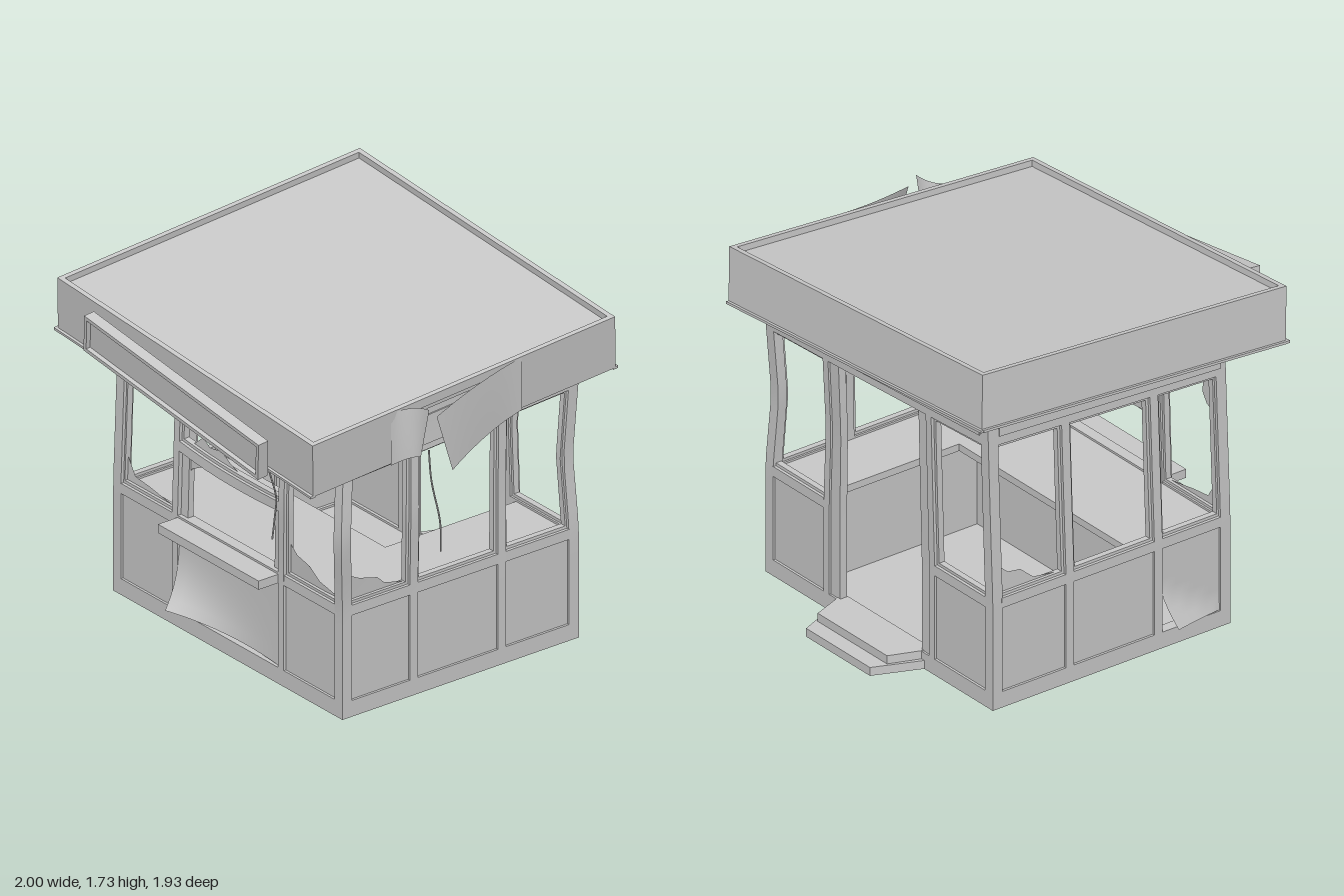
import * as THREE from 'three';

const grey = new THREE.MeshStandardMaterial({ color: 0xcccccc });
const thin = new THREE.MeshStandardMaterial({ color: 0xcccccc, side: THREE.DoubleSide });
const SILL = 0.55, EAVE = 1.345, HEAD = 1.235, WALL_TOP = 1.54;

// Above the sill the booth leans with its slipped roof, kinks along the right side and sags at the transom
function deform(geo) {
  const p = geo.attributes.position, { smoothstep: ss, clamp, lerp } = THREE.MathUtils;
  for (let i = 0; i < p.count; i++) {
    const x = p.getX(i), y = p.getY(i), z = p.getZ(i);
    if (y <= SILL) continue;
    const t = Math.min((y - SILL) / (EAVE - SILL), 1);
    const kink = Math.min(t / 0.44, (1 - t) / 0.56) * ss(x, -0.1, 0.7);
    const out = lerp(-0.02, 0.032, clamp((z + 0.73) / 1.33, 0, 1));
    const along = 0.035 * ss(z, 0, 0.6) + 0.02 * ss(-z, 0.3, 0.73);
    const tilt = -0.07 * (x + 0.065) - 0.069 * (z - 0.02);
    const sag = z > 0.5 ? 0.025 * Math.max(0, 1 - ((x + 0.1) / 0.36) ** 2) * Math.max(0, 1 - Math.abs(t - 0.42) / 0.3) : 0;
    p.setXYZ(i, x + t * (0.005 - 0.018 * x) + out * kink, y + t * t * tilt - sag, z - 0.012 * t + along * kink);
  }
  geo.computeVertexNormals();
  return geo;
}

function add(parent, name, geo, mat = grey) {
  const m = new THREE.Mesh(geo, mat);
  m.name = name;
  parent.add(m);
  return m;
}

// Box given by its limits, cut finely enough to bend
function block(parent, name, x0, x1, y0, y1, z0, z1) {
  const seg = (a) => Math.max(1, Math.ceil(a / 0.09));
  const g = new THREE.BoxGeometry(x1 - x0, y1 - y0, z1 - z0, seg(x1 - x0), seg(y1 - y0), seg(z1 - z0));
  g.translate((x0 + x1) / 2, (y0 + y1) / 2, (z0 + z1) / 2);
  return add(parent, name, deform(g));
}

// Bent sheet from a rule f(u, v) -> [x, y, z]
function sheet(parent, name, f) {
  const g = new THREE.PlaneGeometry(1, 1, 12, 8), p = g.attributes.position;
  for (let i = 0; i < p.count; i++) p.setXYZ(i, ...f(p.getX(i) + 0.5, p.getY(i) + 0.5));
  g.computeVertexNormals();
  return add(parent, name, g, thin);
}

// Each face maps a span along the wall and a depth inwards to box limits
const faces = {
  front: { ends: [-0.92, 0.72], x: (u, d) => u, z: (u, d) => 0.6 - d },
  back: { ends: [-0.92, 0.72], x: (u, d) => u, z: (u, d) => -0.73 + d },
  right: { ends: [-0.73, 0.6], x: (u, d) => 0.72 - d, z: (u, d) => u },
  left: { ends: [-0.73, 0.6], x: (u, d) => -0.92 + d, z: (u, d) => u },
};

function makeWall(side, bays, shards) {
  const f = faces[side], g = new THREE.Group();
  g.name = side + 'Wall';
  const put = (name, u0, u1, y0, y1, d0 = 0, d1 = 0.055) => {
    const xs = [f.x(u0, d0), f.x(u1, d1)].sort((a, b) => a - b);
    const zs = [f.z(u0, d0), f.z(u1, d1)].sort((a, b) => a - b);
    block(g, name, ...xs, y0, y1, ...zs);
  };
  const windowFrame = (a, b, y0, y1) => {
    const w = 0.014;
    for (const u of [a, b - w]) put('windowFrame', u, u + w, y0, y1, 0.015, 0.045);
    for (const y of [y0, y1 - w]) put('windowFrame', a, b, y, y + w, 0.015, 0.045);
  };
  // Posts fill the gaps between bays
  const edges = [f.ends[0], ...bays.flatMap((b) => [b[0], b[1]]), f.ends[1]];
  for (let i = 0; i < edges.length; i += 2) put('post', edges[i], edges[i + 1], 0, WALL_TOP);
  put('headerPanel', f.ends[0] + 0.06, f.ends[1] - 0.03, HEAD + 0.035, 1.42, -0.006, 0.001);
  for (const [a, b, kind] of bays) {
    put('header', a, b, HEAD, WALL_TOP);
    put('bottomRail', a, b, 0, 0.08);
    if (kind === 'door') {
      put('doorJamb', a, a + 0.065, 0.08, HEAD, 0.01, 0.05);
      put('doorJamb', b - 0.065, b, 0.08, HEAD, 0.01, 0.05);
      continue;
    }
    put('sill', a, b, 0.5, 0.55);
    if (!kind) put('lowerPanel', a, b, 0.08, 0.5, 0.012, 0.04);
    if (kind === 'serving') {
      put('transom', a, b, 0.87, 0.92);
      windowFrame(a, b, 0.92, HEAD);
      for (const u of [a, b - 0.05]) put('hatchJamb', u, u + 0.05, 0.55, 0.87, 0.02, 0.05);
    } else windowFrame(a, b, 0.55, HEAD);
  }
  // Broken glass left in the frames
  for (const pts of shards) {
    const geo = new THREE.ShapeGeometry(new THREE.Shape(pts.map((q) => new THREE.Vector2(...q))));
    const p = geo.attributes.position;
    for (let i = 0; i < p.count; i++) {
      const u = p.getX(i);
      p.setXYZ(i, f.x(u, 0.03), p.getY(i), f.z(u, 0.03));
    }
    add(g, 'glassShard', deform(geo), thin);
  }
  return g;
}

// Shallow tray turned upside down: deck and fascias, open below
function makeRoof() {
  const r = new THREE.Group();
  r.name = 'roof';
  r.position.set(-0.06, 1.48, 0.02);
  r.rotation.set(0.069, 0, -0.07);
  const W = 0.91, D = 0.853, H = 0.133, T = 0.025;
  const box = (name, x0, x1, y0, y1, z0, z1) => {
    const g = new THREE.BoxGeometry(x1 - x0, y1 - y0, z1 - z0);
    g.translate((x0 + x1) / 2, (y0 + y1) / 2, (z0 + z1) / 2);
    add(r, name, g);
  };
  box('roofDeck', -W + T, W - T, H - 0.08, H - 0.03, -D + T, D - T);
  box('frontFascia', -W, W, -H, H, D - T, D);
  box('backFascia', -W, W, -H, H, -D, -D + T);
  box('leftFascia', -W, -W + T, -H, H, -D + T, D - T);
  // Right fascia is torn open between its two ends
  box('rightFascia', W - T, W, -H, H, -D + T, -0.3);
  box('rightFascia', W - T, W, -H, H, 0.4, D - T);
  box('rightLip', W - T, W, H - 0.045, H, -0.3, 0.4);
  for (const s of [-1, 1])
    box('dripEdge', -W - 0.012, W, -H - 0.006, -H + 0.006, s * D - 0.014, s * D + 0.014);
  box('dripEdge', -W - 0.014, -W + 0.014, -H - 0.006, -H + 0.006, -D, D);
  return r;
}

function makeSign() {
  const s = new THREE.Group();
  s.name = 'sign';
  s.position.set(-0.062, 1.395, 0.922);
  s.rotation.set(0.09, 0, -0.134);
  const box = (name, w, h, d, x, y, z) => add(s, name, new THREE.BoxGeometry(w, h, d)).position.set(x, y, z);
  box('signPanel', 1.22, 0.17, 0.03, 0, 0, -0.01);
  for (const k of [-1, 1]) {
    box('signRim', 1.24, 0.018, 0.055, 0, k * 0.085, 0);
    box('signRim', 0.018, 0.188, 0.055, k * 0.611, 0, 0);
    box('signBracket', 0.025, 0.03, 0.06, k * 0.48, 0, -0.045);
  }
  return s;
}

export function createModel() {
  const model = new THREE.Group();
  model.name = 'abandonedBooth';
  const outer = [[-0.87, -0.5], [0.3, 0.68]];
  const sideBays = (first) => [[-0.68, -0.32], [-0.275, 0.175], [0.22, 0.55, first]];
  const sideShards = [
    [[0.55, 0.55], [0.55, 0.7], [0.48, 0.66], [0.38, 0.63], [0.34, 0.59], [0.22, 0.56]],
    [[-0.68, 0.55], [-0.68, 0.7], [-0.62, 0.65], [-0.55, 0.64], [-0.48, 0.58], [-0.33, 0.56]],
  ];
  model.add(
    makeWall('front', [outer[0], [-0.46, 0.26, 'serving'], outer[1]], [
      [[-0.87, 0.55], [-0.87, 0.7], [-0.8, 0.6], [-0.7, 0.59], [-0.58, 0.57], [-0.5, 0.56]],
      [[-0.87, 1.235], [-0.87, 1.03], [-0.81, 1.06], [-0.78, 1.11], [-0.79, 1.16], [-0.7, 1.195], [-0.5, 1.23]],
      [[-0.46, 0.91], [-0.4, 0.925], [-0.33, 0.99], [-0.28, 0.965], [-0.19, 0.98], [-0.13, 0.95], [0.0, 0.91]],
      [[-0.46, 0.88], [-0.45, 0.73], [-0.4, 0.8], [-0.33, 0.845], [-0.1, 0.86], [0.25, 0.87]],
      [[0.3, 0.55], [0.3, 0.72], [0.36, 0.67], [0.45, 0.65], [0.52, 0.6], [0.67, 0.57]],
    ]),
    makeWall('back', [outer[0], [-0.46, 0.26, 'door'], outer[1]], []),
    makeWall('right', sideBays(), [sideShards[0]]),
    makeWall('left', sideBays('torn'), [sideShards[1]]),
    makeRoof(), makeSign());

  // Floor, serving shelf and inner counters with closed fronts
  block(model, 'floor', -0.87, 0.67, 0.012, 0.07, -0.68, 0.55);
  block(model, 'servingShelf', -0.46, 0.26, 0.497, 0.54, 0.59, 0.71);
  block(model, 'frontCounter', -0.865, 0.665, 0.505, 0.54, 0.06, 0.545);
  block(model, 'frontCounterPanel', -0.865, 0.665, 0.07, 0.505, 0.2, 0.22);
  block(model, 'rightCounter', 0.34, 0.665, 0.505, 0.54, -0.675, 0.06);
  block(model, 'rightCounterPanel', 0.39, 0.41, 0.07, 0.505, -0.675, 0.2);

  // Rear steps, tapering away from the door
  for (const [w0, w1, z1, y0, y1] of [[0.33, 0.23, -0.96, 0, 0.042], [0.31, 0.25, -0.88, 0.042, 0.083]]) {
    const s = new THREE.Shape([[-w0, 0.72], [w0, 0.72], [w1, -z1], [-w1, -z1]].map((q) => new THREE.Vector2(...q)));
    const g = new THREE.ExtrudeGeometry(s, { depth: y1 - y0, bevelEnabled: false }).rotateX(-Math.PI / 2);
    add(model, 'step', g.translate(-0.1, y0, 0));
  }

  // Peeling lower panels
  sheet(model, 'peeledFrontPanel', (u, v) => {
    const peel = (1 - u) ** 2 * (1 - v) ** 3;
    return [-0.46 + 0.72 * u + 0.03 * peel, 0.08 + 0.42 * v + 0.04 * (1 - v) * (1 - u * u), 0.588 + 0.105 * peel];
  });
  sheet(model, 'peeledSidePanel', (u, v) => {
    const peel = Math.max(0, 1 - u * 0.9 - v / 0.5) ** 1.3;
    return [-0.908 - 0.092 * peel, 0.08 + 0.42 * v + 0.035 * peel, 0.22 + 0.33 * u + 0.03 * peel];
  });

  // Torn fascia sheets curling off the roof
  sheet(model, 'longFasciaFlap', (u, v) => [
    0.86 + (0.14 - 0.025 * v) * u ** 1.6,
    1.31 - 0.09 * u + (0.26 + 0.015 * u) * v,
    -0.3 + u * (0.5 + 0.07 * v)]);
  sheet(model, 'shortFasciaFlap', (u, v) => [
    0.853 + 0.12 * u * u * (0.5 + 0.5 * v), 1.255 + 0.03 * u + 0.255 * v, 0.43 - 0.12 * Math.sin(u * 1.5)]);

  // Dangling wires
  const wires = [
    [[0.54, 1.24, 0.87], [0.545, 1.1, 0.835], [0.54, 1, 0.84], [0.54, 0.9, 0.853]],
    [[0.855, 1.27, 0.22], [0.86, 1.12, 0.21], [0.866, 0.9, 0.165], [0.858, 0.75, 0.155]],
  ];
  for (const w of wires) {
    const path = new THREE.CatmullRomCurve3(w.map((q) => new THREE.Vector3(...q)));
    add(model, 'wire', new THREE.TubeGeometry(path, 16, 0.004, 6));
  }
  return model;
}
